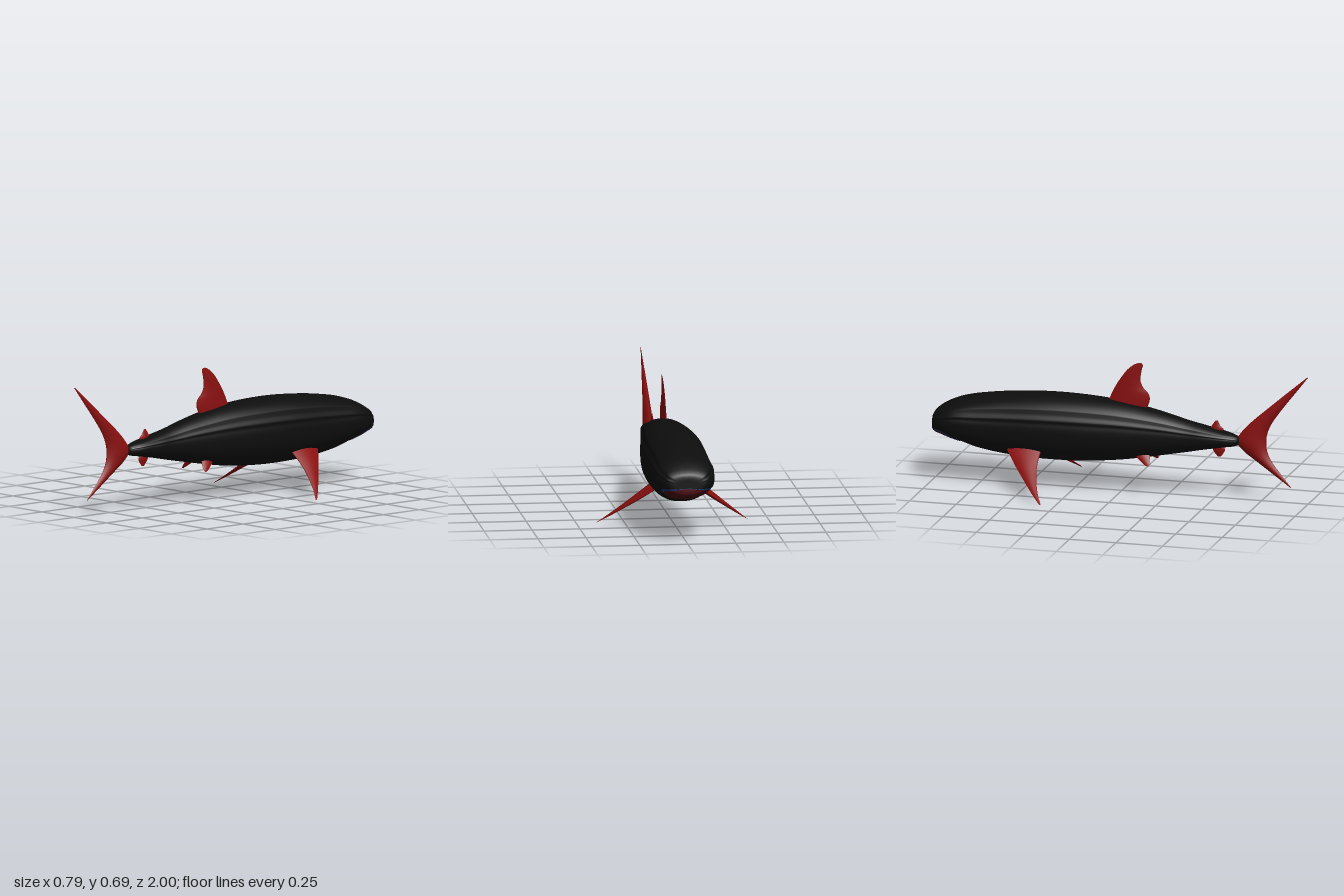
import * as THREE from 'three';

const mat = (name, color) => {
  const m = new THREE.MeshStandardMaterial({ color, side: THREE.DoubleSide });
  m.name = name;
  return m;
};

// Skin a grid of points: rows along the part, columns around it
function loft(rows) {
  const cols = rows[0].length, index = [];
  for (let i = 0; i < rows.length - 1; i++) {
    for (let j = 0; j < cols - 1; j++) {
      const a = i * cols + j, b = a + 1, c = a + cols, d = c + 1;
      index.push(a, b, c, b, d, c);
    }
  }
  const g = new THREE.BufferGeometry().setFromPoints(rows.flat());
  g.setIndex(index);
  g.computeVertexNormals();
  return g;
}

// Body stations from snout to tail: z, half width, top, bottom
const stations = [
  [-1, 0, 0.3, 0.295], [-0.999, 0.075, 0.355, 0.268], [-0.985, 0.11, 0.378, 0.258],
  [-0.95, 0.133, 0.402, 0.247], [-0.9, 0.15, 0.427, 0.23], [-0.84, 0.156, 0.447, 0.212],
  [-0.75, 0.157, 0.466, 0.184], [-0.6, 0.157, 0.486, 0.161], [-0.4, 0.157, 0.499, 0.15],
  [-0.2, 0.147, 0.497, 0.154], [0, 0.125, 0.48, 0.173], [0.2, 0.095, 0.442, 0.208],
  [0.35, 0.073, 0.404, 0.237], [0.45, 0.067, 0.382, 0.258], [0.55, 0.055, 0.36, 0.276],
  [0.6, 0.038, 0.347, 0.284], [0.625, 0.022, 0.335, 0.293], [0.635, 0, 0.315, 0.311],
];
const last = stations.length - 1;
const spine = new THREE.CatmullRomCurve3(
  stations.map(([z]) => new THREE.Vector3(0, 0, z)), false, 'catmullrom', 0.5);
const girth = new THREE.CatmullRomCurve3(
  stations.map(([, w, t, b]) => new THREE.Vector3(w, t, b)), false, 'catmullrom', 0.5);

// Half cross-section from back to belly, with two ridges along the flank
const half = new THREE.CatmullRomCurve3([
  [0, 1], [0.32, 0.965], [0.63, 0.84], [0.83, 0.69], [0.87, 0.6], [0.905, 0.49], [0.98, 0.36],
  [0.97, 0.26], [1, 0.1], [1, -0.13], [0.95, -0.42], [0.76, -0.7], [0.5, -0.89], [0.25, -0.98], [0, -1],
].map(([x, y]) => new THREE.Vector3(x, y, 0)), false, 'catmullrom', 0.5);

// Point on the body skin: s = station number, v = 0 at back, 0.5 at belly, 1 at back
function skin(s, v, offset) {
  const t = Math.min(s / last, 1);
  const g = girth.getPoint(t), z = spine.getPoint(t).z;
  const p = half.getPoint(v <= 0.5 ? 2 * v : 2 * (1 - v));
  const side = v <= 0.5 ? -1 : 1;
  return new THREE.Vector3(
    side * p.x * (Math.max(g.x, 0) + offset),
    (g.y + g.z) / 2 + p.y * ((g.y - g.z) / 2 + offset),
    Math.max(z, -1) + (s < 0.5 ? -offset * 0.3 : 0));
}

// Strip of body skin centred on the belly; spread(k) is its half extent
function skinPatch(s1, nRows, nCols, spread, offset) {
  const rows = [];
  for (let i = 0; i <= nRows; i++) {
    const k = i / nRows, e = spread(k), row = [];
    for (let j = 0; j <= nCols; j++) row.push(skin(k * s1, 0.5 + e * (2 * j / nCols - 1), offset));
    rows.push(row);
  }
  return loft(rows);
}

// Fin from rows of [distance, leading z, trailing z, half thickness] with a lens section
function finGeometry(origin, dir, rows) {
  const len = Math.hypot(dir[0], dir[1]);
  const n = [-dir[1] / len, dir[0] / len];
  const curve = (f) => new THREE.CatmullRomCurve3(rows.map(f), false, 'catmullrom', 0.5);
  const edge = curve(([s, a, b]) => new THREE.Vector3(s, a, b));
  const thick = curve(([, , , h]) => new THREE.Vector3(h, 0, 0));
  const rings = [], steps = (rows.length - 1) * 4;
  for (let i = 0; i <= steps; i++) {
    const { x: s, y: a, z: b } = edge.getPoint(i / steps);
    const h = thick.getPoint(i / steps).x, ring = [];
    for (let j = 0; j <= 16; j++) {
      const q = j / 16 * Math.PI * 2, sn = Math.sin(q);
      const off = h * sn * Math.abs(sn);
      ring.push(new THREE.Vector3(
        origin[0] + dir[0] * s + n[0] * off,
        origin[1] + dir[1] * s + n[1] * off,
        (a + b) / 2 - (b - a) / 2 * Math.cos(q)));
    }
    rings.push(ring);
  }
  return loft(rings);
}

export function createModel() {
  const group = new THREE.Group();
  const black = mat('skin black', 0x0d0d0d);
  const red = mat('fin red', 0x8a1010);
  const maroon = mat('mouth maroon', 0x4c0a12);
  const blue = mat('lip blue', 0x1d3f78);
  const add = (name, geometry, material) => {
    const m = new THREE.Mesh(geometry, material);
    m.name = name;
    group.add(m);
  };

  // Body and mouth
  add('body', skinPatch(last, last * 5, 96, () => 0.5, 0), black);
  const round = (k) => Math.sqrt(Math.max(0, 1 - k ** 5));
  add('lip', skinPatch(4.95, 30, 32, (k) => 0.142 * round(k), 0.002), blue);
  add('mouth', skinPatch(4.9, 30, 32, (k) => 0.128 * round(k), 0.004), maroon);

  // Fins on the centre line, distance is height
  const centreFins = {
    tailFin: [
      [0.083, 0.905, 0.91, 0], [0.15, 0.81, 0.855, 0.009], [0.21, 0.725, 0.808, 0.017],
      [0.26, 0.655, 0.783, 0.023], [0.31, 0.615, 0.775, 0.028], [0.36, 0.64, 0.78, 0.025],
      [0.42, 0.695, 0.805, 0.02], [0.5, 0.785, 0.86, 0.014], [0.6, 0.9, 0.938, 0.006], [0.68, 0.994, 1, 0]],
    dorsalFin: [
      [0.43, -0.09, 0.12, 0.015], [0.49, -0.068, 0.148, 0.014], [0.53, -0.05, 0.143, 0.012],
      [0.56, -0.035, 0.115, 0.01], [0.6, -0.01, 0.099, 0.008], [0.65, 0.027, 0.105, 0.005],
      [0.68, 0.062, 0.112, 0.002], [0.692, 0.088, 0.104, 0]],
    rearDorsalFin: [
      [0.345, 0.465, 0.525, 0.01], [0.37, 0.475, 0.545, 0.008], [0.39, 0.485, 0.528, 0.005], [0.415, 0.503, 0.515, 0]],
    analFin: [
      [0.222, 0.515, 0.53, 0], [0.243, 0.497, 0.545, 0.005], [0.265, 0.485, 0.553, 0.008], [0.295, 0.475, 0.53, 0.01]],
  };
  for (const [name, rows] of Object.entries(centreFins)) add(name, finGeometry([0, 0], [0, 1], rows), red);

  // Paired fins, distance is the fraction from root to tip
  for (const side of [1, -1]) {
    const label = side > 0 ? 'left' : 'right';
    add(label + 'PectoralFin', finGeometry([side * 0.11, 0.225], [side * 0.284, -0.222], [
      [0, -0.595, -0.4, 0.018], [0.3, -0.525, -0.4, 0.015], [0.55, -0.46, -0.385, 0.01],
      [0.8, -0.393, -0.358, 0.005], [1, -0.335, -0.325, 0]]), red);
    add(label + 'PelvicFin', finGeometry([side * 0.05, 0.225], [side * 0.039, -0.06], [
      [0, 0.07, 0.16, 0.009], [0.45, 0.105, 0.17, 0.007], [0.8, 0.135, 0.173, 0.004], [1, 0.158, 0.17, 0]]), red);
  }
  return group;
}
